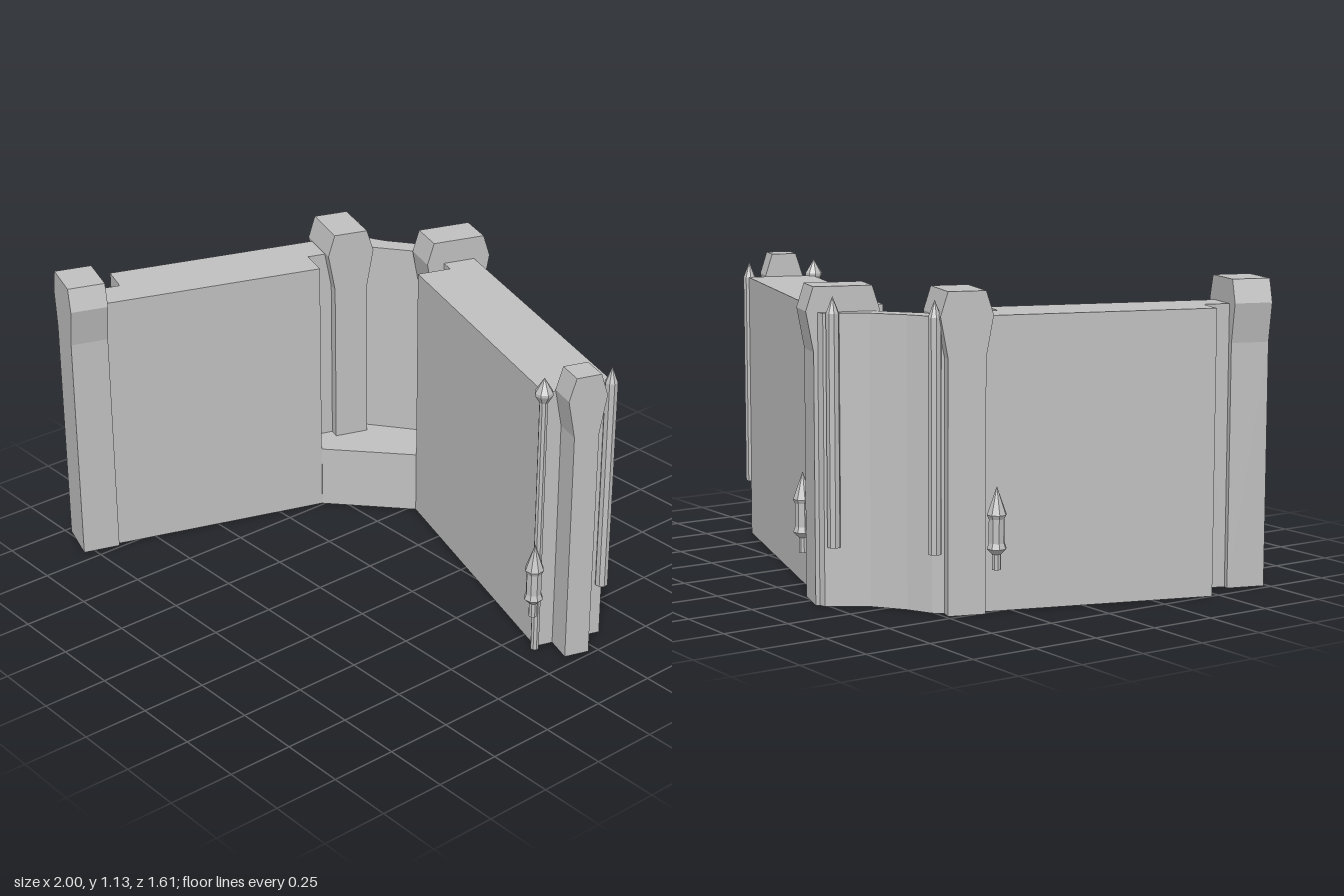
import * as THREE from 'three';

const stone = new THREE.MeshStandardMaterial({ color: 0xc0c0c0, flatShading: true });
stone.name = 'grey stone';

function add(parent, name, geometry) {
  const mesh = new THREE.Mesh(geometry, stone);
  mesh.name = name;
  parent.add(mesh);
  return mesh;
}

// Upright slab from a plan outline of [x, z] points
function slab(outline, height) {
  const shape = new THREE.Shape(outline.map(([x, z]) => new THREE.Vector2(x, -z)));
  return new THREE.ExtrudeGeometry(shape, { depth: height, bevelEnabled: false }).rotateX(-Math.PI / 2);
}

// Pillar whose head flares across its width; width is the widest part of the head
function pillar(width, depth) {
  const wide = width / 2, slim = wide - 0.027;
  const half = [[slim, 0], [slim, 0.9], [wide, 1.045], [slim, 1.13]];
  const mirrored = half.map(([x, y]) => [-x, y]).reverse();
  const shape = new THREE.Shape([...half, ...mirrored].map(([x, y]) => new THREE.Vector2(x, y)));
  return new THREE.ExtrudeGeometry(shape, { depth, bevelEnabled: false }).translate(0, 0, -depth / 2);
}

const turned = (profile) =>
  new THREE.LatheGeometry(profile.map(([r, y]) => new THREE.Vector2(r, y)), 8);

export function createModel() {
  const model = new THREE.Group();
  model.name = 'cornerWall';

  // The plan is square to its own axes, then turned 18 degrees
  const plan = new THREE.Group();
  plan.name = 'wallPlan';
  plan.rotation.y = -Math.PI / 10;
  model.add(plan);

  // Two long walls with notched ends
  add(plan, 'rightWall', slab([
    [-0.347, -0.342], [0.765, -0.342], [0.765, -0.605],
    [-0.42, -0.605], [-0.42, -0.477], [-0.347, -0.477],
  ], 1.04));
  add(plan, 'leftWall', slab([
    [-0.806, -0.12], [-0.665, -0.12], [-0.665, -0.01], [-0.538, -0.01],
    [-0.538, 0.86], [-0.678, 0.86], [-0.678, 0.755], [-0.806, 0.755],
  ], 1.04));

  // Hollowed corner wall and the low step inside it
  add(plan, 'cornerPanel', slab([
    [-0.8, -0.23], [-0.775, -0.282], [-0.702, -0.351], [-0.62, -0.462], [-0.575, -0.617],
    [-0.53, -0.64], [-0.52, -0.47], [-0.54, -0.443], [-0.672, -0.26], [-0.7, -0.23],
  ], 1.04));
  add(plan, 'cornerStep', slab([
    [-0.537, -0.011], [-0.346, -0.343], [-0.346, -0.5], [-0.45, -0.55],
    [-0.54, -0.45], [-0.68, -0.26], [-0.7, -0.011],
  ], 0.25));

  // Pillars: name, x, z, flare width, depth, flare along z
  const pillars = [
    ['leftEndPillar', -0.612, 0.928, 0.235, 0.144, false],
    ['rightEndPillar', 0.817, -0.46, 0.15, 0.106, true],
    ['cornerPillarLeft', -0.731, -0.174, 0.19, 0.217, true],
    ['cornerPillarRight', -0.477, -0.539, 0.265, 0.147, true],
  ];
  for (const [name, x, z, width, depth, alongZ] of pillars) {
    const mesh = add(plan, name, pillar(width, depth));
    mesh.position.set(x, 0, z);
    if (alongZ) mesh.rotation.y = Math.PI / 2;
  }

  // Pointed rods against the outer faces
  const rod = turned([[0, 0.215], [0.024, 0.215], [0.024, 1.04], [0, 1.1]]);
  for (const [x, z] of [[0.775, -0.599], [-0.59, -0.586], [-0.802, -0.279]]) {
    add(plan, 'pointedRod', rod).position.set(x, 0, z);
  }

  // Full-height post with a spired cap
  add(plan, 'cappedPost', turned([
    [0, 0], [0.016, 0], [0.016, 1.01], [0.034, 1.04], [0.034, 1.05], [0, 1.105],
  ])).position.set(0.774, 0, -0.336);

  // Small wall lanterns
  const lantern = turned([
    [0, 0.155], [0.016, 0.155], [0.016, 0.21], [0.036, 0.23],
    [0.029, 0.25], [0.029, 0.335], [0.036, 0.35], [0, 0.45],
  ]);
  for (const [x, z] of [[0.791, -0.315], [-0.364, -0.646], [-0.834, -0.065]]) {
    add(plan, 'lantern', lantern).position.set(x, 0, z);
  }
  return model;
}
